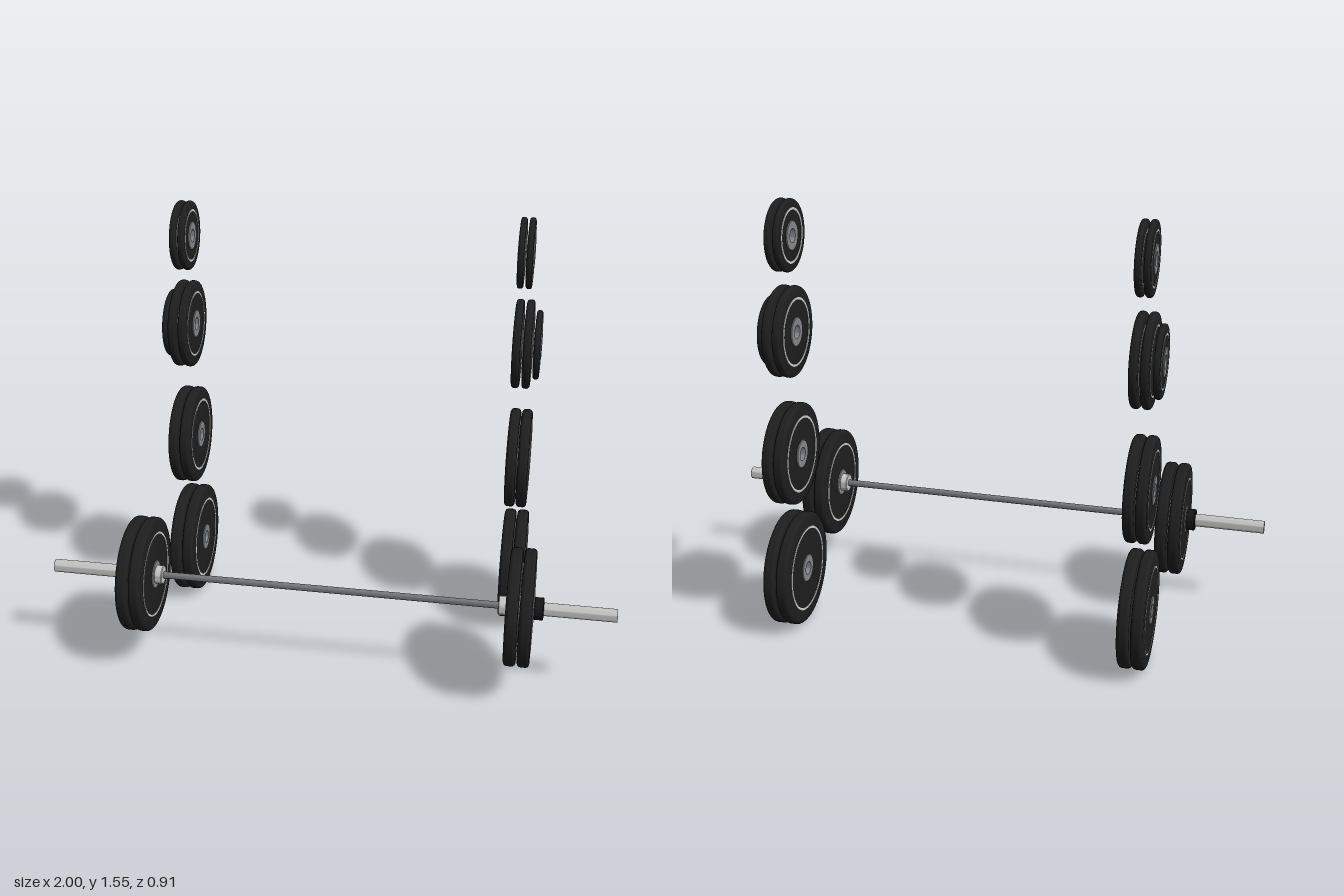
import * as THREE from 'three';
import { toCreasedNormals } from 'three/addons/utils/BufferGeometryUtils.js';

const mat = (name, color) => {
  const m = new THREE.MeshStandardMaterial({ color });
  m.name = name;
  return m;
};

export function createModel() {
  const rubber = mat('black rubber', 0x1e1e1e);
  const paint = mat('pale ring paint', 0xd0d0cc);
  const hubSteel = mat('hub steel', 0x85888c);
  const chrome = mat('sleeve chrome', 0xc4c4c2);
  const shaftSteel = mat('shaft steel', 0x73767a);
  const clipBlack = mat('clip black', 0x151515);

  // Turned part around the x axis from [radius, x] points
  const turned = (name, pts, material, x = 0, segments = 48) => {
    const profile = pts.map(([r, a]) => new THREE.Vector2(r, a));
    const geo = toCreasedNormals(new THREE.LatheGeometry(profile, segments), 0.6);
    geo.rotateZ(-Math.PI / 2);
    const mesh = new THREE.Mesh(geo, material);
    mesh.name = name;
    mesh.position.x = x;
    return mesh;
  };

  // Closed tube with small chamfers on its outer edges
  const tube = (inner, outer, half, c) => [
    [inner, -half], [outer - c, -half], [outer, c - half],
    [outer, half - c], [outer - c, half], [inner, half], [inner, -half],
  ];

  const HOLE = 0.0235, HUB = 0.05;

  // Weight plate: rounded rubber disc, painted ring on both faces, steel hub
  function plate(radius, thickness) {
    const g = new THREE.Group();
    g.name = 'weightPlate';
    const h = thickness / 2, f = Math.min(0.013, h * 0.8);
    const pts = [[HUB - 0.004, -h], [radius - f, -h]];
    for (let i = 1; i <= 5; i++) {
      const a = (i / 5) * Math.PI / 2;
      pts.push([radius - f + f * Math.sin(a), -h + f - f * Math.cos(a)]);
    }
    for (let i = 0; i <= 5; i++) {
      const a = (i / 5) * Math.PI / 2;
      pts.push([radius - f + f * Math.cos(a), h - f + f * Math.sin(a)]);
    }
    pts.push([HUB - 0.004, h]);
    g.add(turned('rubberDisc', pts, rubber, 0, 64));
    const ring = radius * 0.73;
    for (const s of [-1, 1]) {
      g.add(turned('paintedRing', tube(ring - 0.004, ring + 0.004, 0.001, 0), paint, s * (h + 0.0005), 64));
    }
    g.add(turned('steelHub', tube(HOLE, HUB, h + 0.0035, 0.002), hubSteel));
    return g;
  }

  const model = new THREE.Group();
  model.name = 'barbellSet';

  // Stored plates: height and, from the inside out, [radius, thickness, centre x]
  const stacks = [
    [0.204, [[0.204, 0.042, 0.599], [0.204, 0.042, 0.646]]],
    [0.648, [[0.18, 0.037, 0.597], [0.18, 0.037, 0.639]]],
    [1.094, [[0.157, 0.028, 0.592], [0.157, 0.028, 0.629], [0.122, 0.021, 0.662]]],
    [1.427, [[0.122, 0.021, 0.589], [0.122, 0.021, 0.619]]],
  ];
  for (const side of [-1, 1]) {
    for (const [y, plates] of stacks) {
      const stack = new THREE.Group();
      stack.name = side > 0 ? 'leftPlateStack' : 'rightPlateStack';
      stack.position.set(0, y, -0.252);
      for (const [r, t, x] of plates) {
        const p = plate(r, t);
        p.position.x = side * x;
        stack.add(p);
      }
      model.add(stack);
    }
  }

  // Loaded barbell
  const bar = new THREE.Group();
  bar.name = 'barbell';
  bar.position.set(0, 0.325, 0.253);
  bar.add(turned('shaft', [[0, -0.61], [0.012, -0.61], [0.012, 0.61], [0, 0.61]], shaftSteel, 0, 24));
  for (const side of [-1, 1]) {
    const end = new THREE.Group();
    end.name = side > 0 ? 'leftBarEnd' : 'rightBarEnd';
    end.add(turned('sleeve', [[0, -0.2], [0.022, -0.2], [0.023, -0.199], [0.023, 0.199], [0.022, 0.2], [0, 0.2]], chrome, side * 0.8, 32));
    end.add(turned('sleeveFlange', tube(0.011, 0.033, 0.0135, 0.002), chrome, side * 0.61));
    for (const x of [0.647, 0.694]) {
      const p = plate(0.204, 0.042);
      p.position.x = side * x;
      end.add(p);
    }
    end.add(turned('lockingClip', tube(0.023, 0.039, 0.017, 0.003), clipBlack, side * 0.734));
    bar.add(end);
  }
  model.add(bar);
  return model;
}
